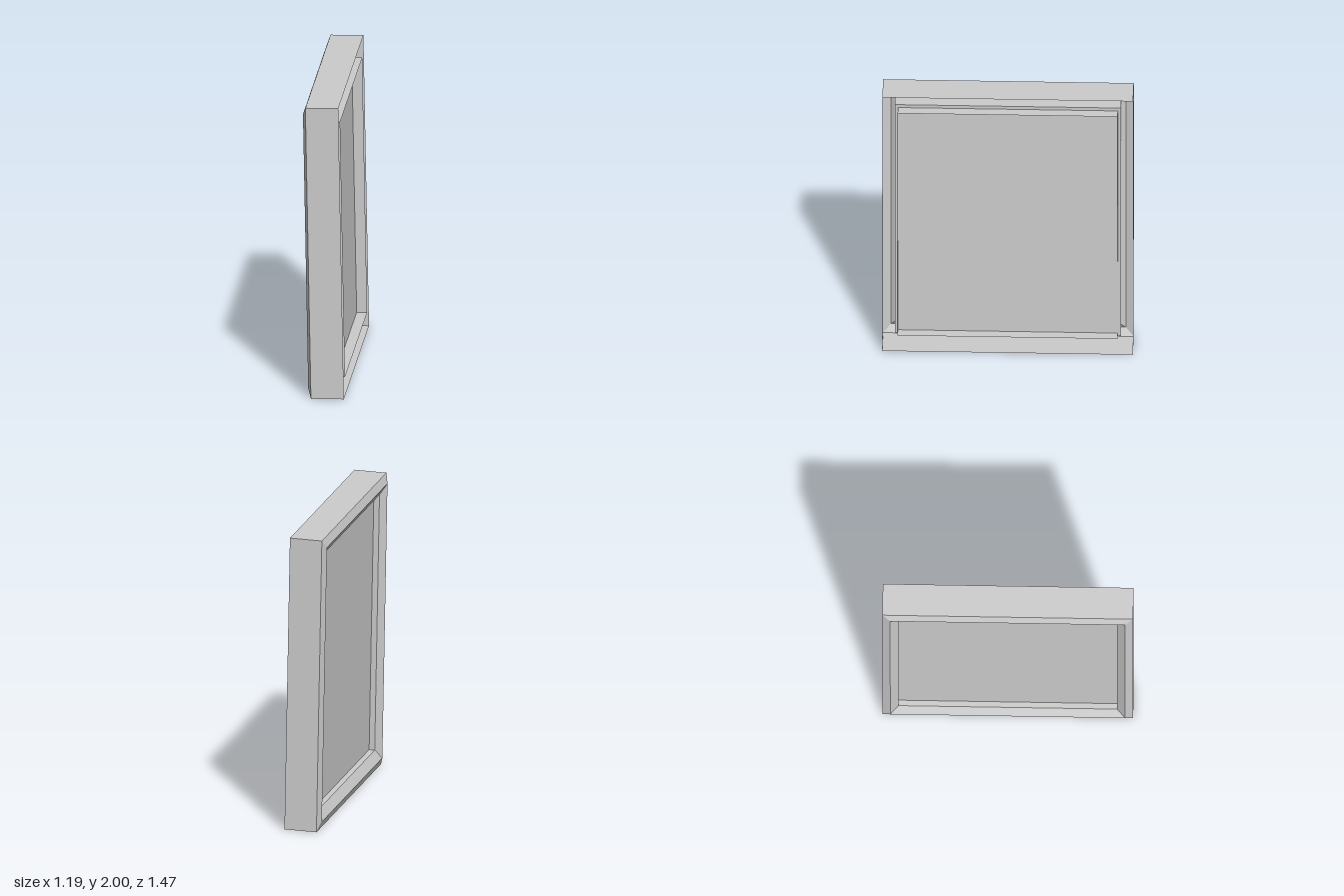
import * as THREE from 'three';

const material = new THREE.MeshStandardMaterial({
  color: 0xcccccc, flatShading: true, side: THREE.DoubleSide,
});

// Sweeps rectangular cross-sections [halfWidth, halfHeight, z] into mitred walls.
function rectangularShell(name, sections) {
  const corners = [[-1, -1], [1, -1], [1, 1], [-1, 1]];
  const positions = [];
  const point = ([w, h, z], i) => [corners[i % 4][0] * w, corners[i % 4][1] * h, z];
  for (let s = 0; s < sections.length - 1; s++) {
    for (let i = 0; i < 4; i++) {
      const a = point(sections[s], i), b = point(sections[s], i + 1);
      const c = point(sections[s + 1], i + 1), d = point(sections[s + 1], i);
      // sections run from front to back, so this order faces outward
      positions.push(...a, ...d, ...c, ...a, ...c, ...b);
    }
  }
  const geometry = new THREE.BufferGeometry();
  geometry.setAttribute('position', new THREE.Float32BufferAttribute(positions, 3));
  geometry.computeVertexNormals();
  const mesh = new THREE.Mesh(geometry, material);
  mesh.name = name;
  return mesh;
}

export function createModel() {
  const model = new THREE.Group();
  model.name = 'framedPanel';

  const frame = new THREE.Group();
  frame.name = 'tiltedFrame';

  // Hollow moulding: outer wall, bevel to a ridge, inner slope, lip meeting the panel
  frame.add(rectangularShell('moulding', [
    [0.823, 0.998, 0.104],
    [0.823, 0.998, -0.113],
    [0.771, 0.94, -0.135],
    [0.718, 0.875, -0.096],
    [0.718, 0.875, -0.058],
  ]));

  // Panel held inside the moulding
  const panel = new THREE.Mesh(new THREE.BoxGeometry(1.484, 1.796, 0.093), material);
  panel.name = 'panel';
  panel.position.z = -0.0115;
  frame.add(panel);

  // Thin upright rim standing on the panel
  frame.add(rectangularShell('panelRim', [
    [0.722, 0.875, 0.104],
    [0.722, 0.875, 0.035],
  ]));

  // Turned to the side and leaning slightly back
  frame.rotation.set(-0.0185, 0.927, 0, 'YXZ');
  model.add(frame);

  // Rest on the ground, centred
  model.updateMatrixWorld(true);
  const box = new THREE.Box3().setFromObject(model, true);
  const centre = box.getCenter(new THREE.Vector3());
  frame.position.set(-centre.x, -box.min.y, -centre.z);
  return model;
}
